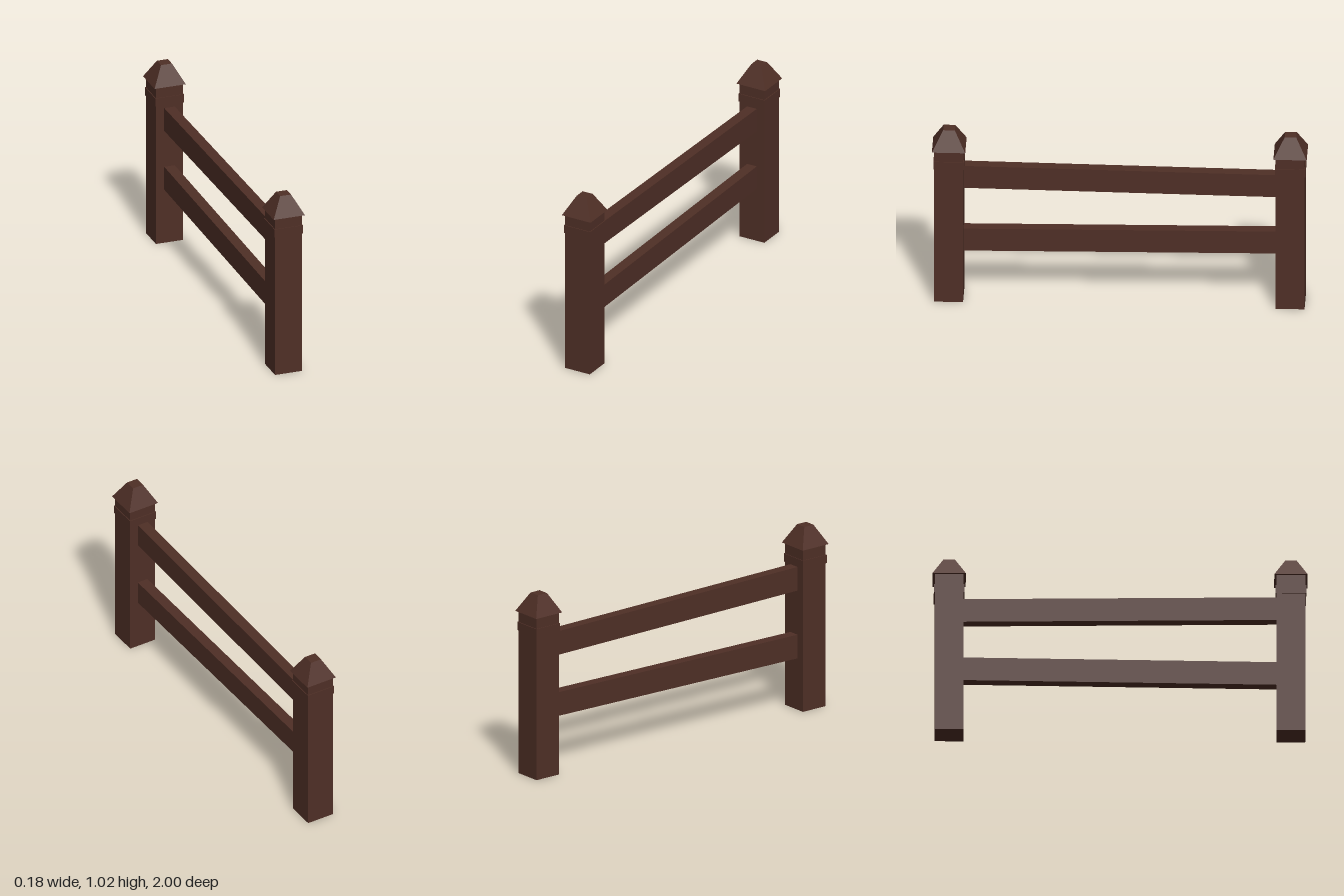
import * as THREE from 'three';

const POST_Z = 0.911;

export function createModel() {
  const model = new THREE.Group();
  model.name = 'fence';
  const darkWood = new THREE.MeshStandardMaterial({ color: 0x4f2f26 });
  darkWood.name = 'darkWood';

  const add = (parent, name, geometry, x, y, z) => {
    const mesh = new THREE.Mesh(geometry, darkWood);
    mesh.name = name;
    mesh.position.set(x, y, z);
    parent.add(mesh);
    return mesh;
  };

  // Four-sided tapered cap with a flat top
  const capGeometry = new THREE.CylinderGeometry(0.031 * Math.SQRT2, 0.089 * Math.SQRT2, 0.106, 4)
    .rotateY(Math.PI / 4)
    .toNonIndexed();
  capGeometry.computeVertexNormals();

  // Square posts, each with a collar and a cap
  for (const [name, z] of [['frontPost', POST_Z], ['backPost', -POST_Z]]) {
    const post = new THREE.Group();
    post.name = name;
    post.position.z = z;
    model.add(post);
    add(post, 'shaft', new THREE.BoxGeometry(0.154, 0.912, 0.154), 0, 0.456, 0);
    add(post, 'collar', new THREE.BoxGeometry(0.163, 0.046, 0.163), 0, 0.828, 0);
    add(post, 'cap', capGeometry, 0, 0.965, 0);
  }

  // Two slightly tilted rails between the posts
  for (const [name, y, tilt] of [['upperRail', 0.728, -0.01], ['lowerRail', 0.366, 0.013]]) {
    const rail = add(model, name, new THREE.BoxGeometry(0.06, 0.133, 1.7), 0, y, 0);
    rail.rotation.x = tilt;
  }

  return model;
}
